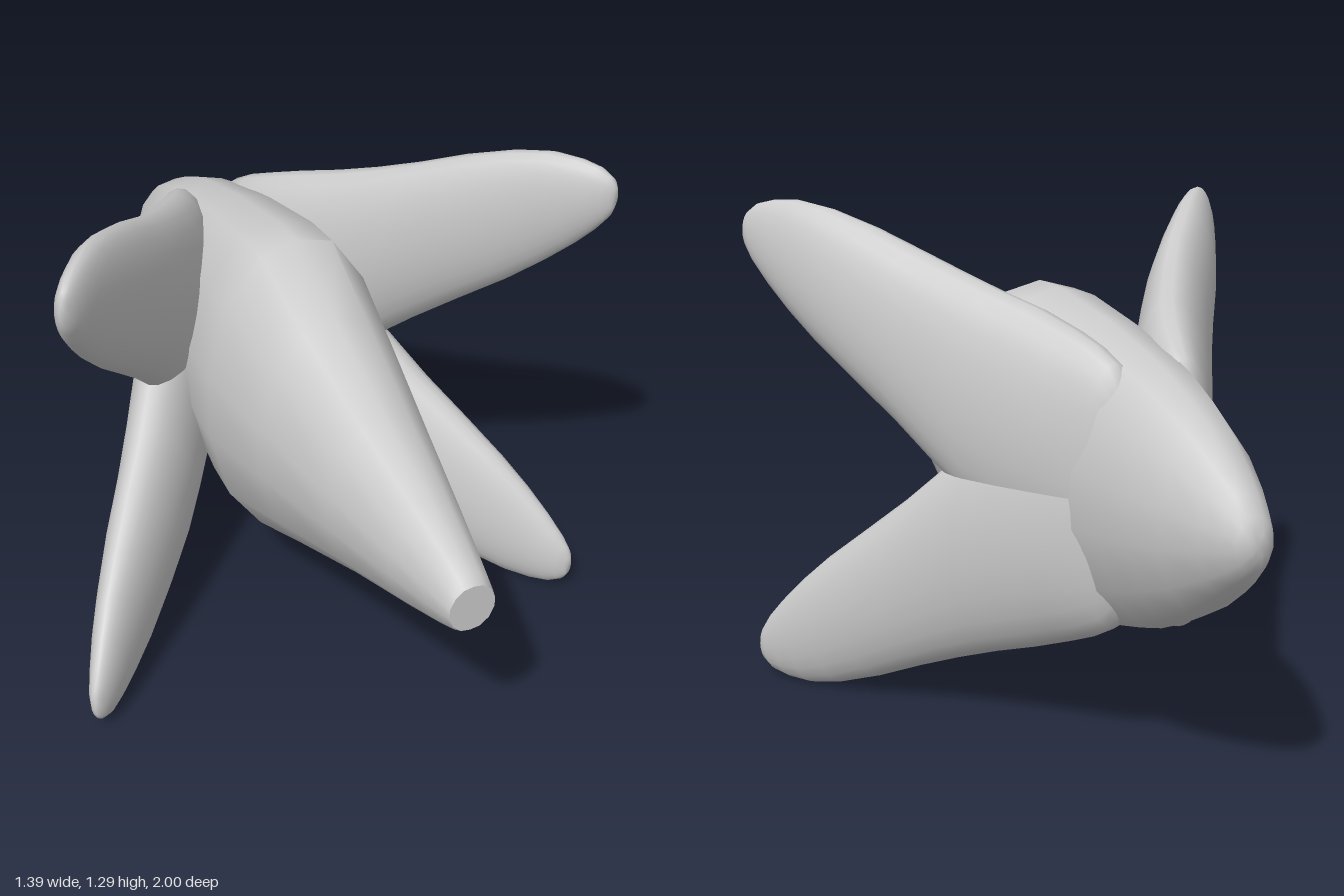
import * as THREE from 'three';
import { toCreasedNormals } from 'three/addons/utils/BufferGeometryUtils.js';

const MID = 0.65; // height of the long axis
const material = new THREE.MeshStandardMaterial({ color: 0xcccccc });

// Skins rings of [x, y, z] points (running counterclockwise, back to front) and caps both ends.
function loft(rings, flip = false) {
  const n = rings[0].length, last = (rings.length - 1) * n;
  const points = rings.flat(), index = [];
  const tri = (a, b, c) => (flip ? index.push(a, c, b) : index.push(a, b, c));
  for (let i = 0; i < rings.length - 1; i++) {
    for (let j = 0; j < n; j++) {
      const k = (j + 1) % n, a = i * n, b = a + n;
      tri(a + j, a + k, b + k);
      tri(a + j, b + k, b + j);
    }
  }
  const centre = (ring) => [0, 1, 2].map((c) => ring.reduce((s, p) => s + p[c], 0) / n);
  const back = points.push(centre(rings[0])) - 1;
  const front = points.push(centre(rings[rings.length - 1])) - 1;
  for (let j = 0; j < n; j++) {
    const k = (j + 1) % n;
    tri(back, k, j);
    tri(front, last + j, last + k);
  }
  const geometry = new THREE.BufferGeometry();
  geometry.setAttribute('position', new THREE.Float32BufferAttribute(points.flat(), 3));
  geometry.setIndex(index);
  geometry.computeVertexNormals();
  return geometry;
}

// Tapered body: z, half width, half height
function bodyGeometry() {
  const stations = [
    [-1, 0.02, 0.025], [-0.985, 0.045, 0.06], [-0.95, 0.065, 0.1], [-0.9, 0.088, 0.14],
    [-0.8, 0.125, 0.21], [-0.7, 0.15, 0.262], [-0.6, 0.168, 0.305], [-0.5, 0.185, 0.335],
    [-0.3, 0.208, 0.385], [-0.05, 0.233, 0.43], [0.07, 0.237, 0.435], [0.3, 0.197, 0.335],
    [0.57, 0.145, 0.225], [0.8, 0.098, 0.145], [0.92, 0.073, 0.1], [0.975, 0.062, 0.076], [1, 0.055, 0.06],
  ];
  // Fourteen-sided section with upright flanks
  const right = [[0, -1], [0.42, -0.94], [0.79, -0.655], [1, -0.21], [1, 0.21], [0.79, 0.655], [0.42, 0.94]];
  const section = [...right, ...right.map(([x, y]) => [-x, -y])];
  return loft(stations.map(([z, w, h]) => section.map(([x, y]) => [x * w, MID + y * h, z])));
}

// Flattened, swept lobe: z, centre x, half thickness, bottom y, top y
function finGeometry(sx, sy) {
  const stations = [
    [-0.57, 0.08, 0.04, 0.6, 0.9], [-0.53, 0.09, 0.075, 0.52, 0.965], [-0.47, 0.11, 0.095, 0.5, 1],
    [-0.4, 0.137, 0.112, 0.5, 1.03], [-0.3, 0.185, 0.122, 0.51, 1.07], [-0.2, 0.245, 0.12, 0.55, 1.105],
    [-0.1, 0.307, 0.115, 0.635, 1.145], [0, 0.375, 0.11, 0.735, 1.19], [0.1, 0.452, 0.1, 0.83, 1.24],
    [0.2, 0.527, 0.083, 0.922, 1.28], [0.27, 0.58, 0.067, 0.995, 1.296], [0.33, 0.622, 0.052, 1.063, 1.294],
    [0.37, 0.65, 0.04, 1.115, 1.284], [0.395, 0.668, 0.026, 1.155, 1.265], [0.405, 0.676, 0.012, 1.185, 1.245],
  ];
  const sides = 24;
  const rings = stations.map(([z, cx, t, low, high]) =>
    Array.from({ length: sides }, (_, i) => {
      const a = (i / sides) * Math.PI * 2;
      const x = cx + t * Math.cos(a);
      const y = (low + high) / 2 + ((high - low) / 2) * Math.sin(a);
      return [sx * x, MID + sy * (y - MID), z];
    }));
  return loft(rings, sx * sy < 0);
}

export function createModel() {
  const model = new THREE.Group();
  const add = (geometry, name) => {
    const mesh = new THREE.Mesh(geometry, material);
    mesh.name = name;
    model.add(mesh);
  };
  add(toCreasedNormals(bodyGeometry(), 0.8), 'body');
  // Four fins mirrored about the long axis
  for (const [sx, side] of [[1, 'Left'], [-1, 'Right']]) {
    for (const [sy, level] of [[1, 'upper'], [-1, 'lower']]) {
      add(finGeometry(sx, sy), `${level}${side}Fin`);
    }
  }
  return model;
}
